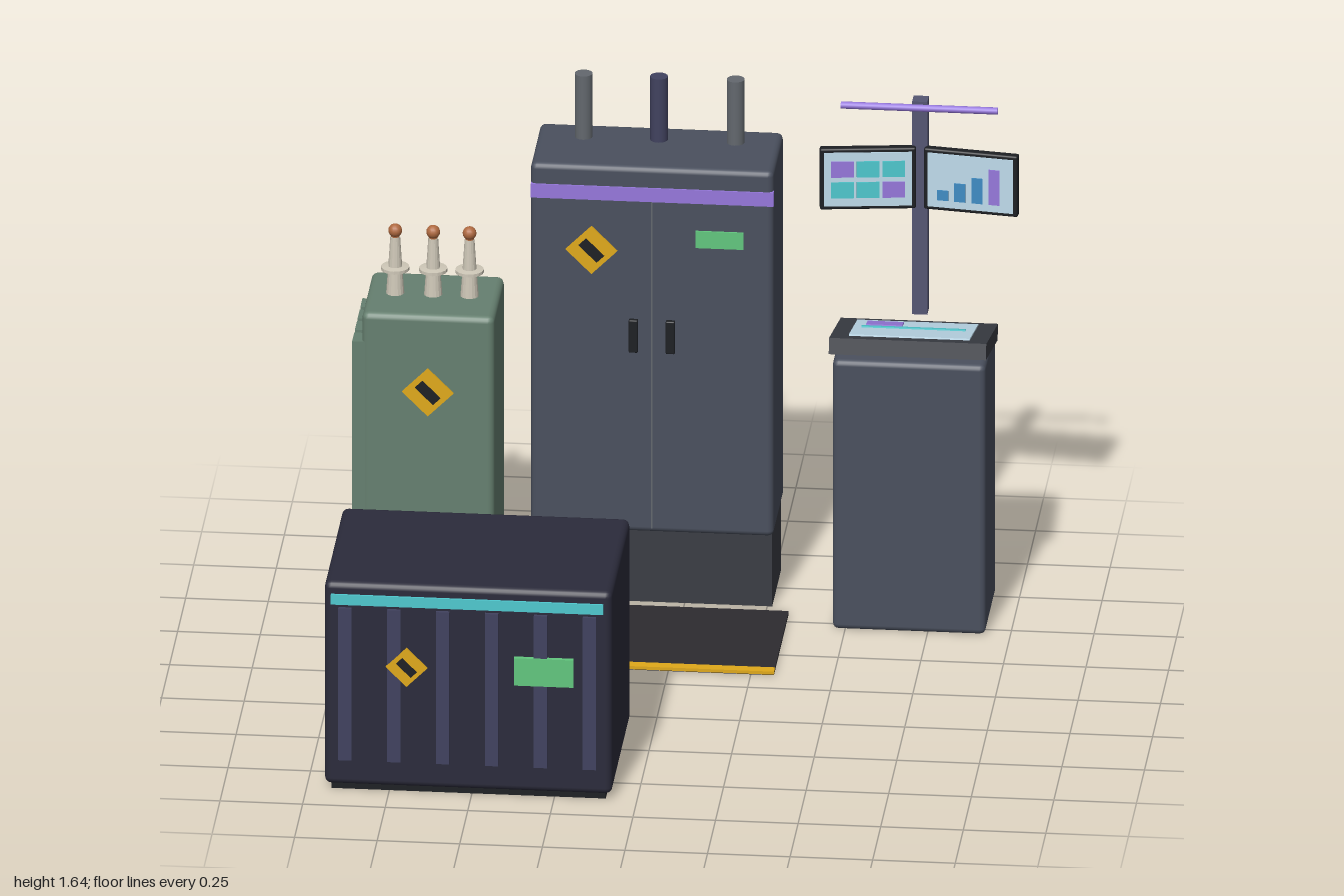
import * as THREE from 'three';
import { RoundedBoxGeometry } from 'three/addons/geometries/RoundedBoxGeometry.js';

const mats = {};
const mat = (color) => (mats[color] ??= new THREE.MeshStandardMaterial({ color }));

const C = {
  navy: 0x2b2b3b, rib: 0x41425f, steel: 0x4a505e, plinth: 0x3a3d44, dark: 0x1d1f23,
  purple: 0x9678dc, yellow: 0xe0a91a, green: 0x62c77e, tank: 0x668070, cyan: 0x4fc9cf,
  mat: 0x2d2b30, screen: 0xbfdcec, blue: 0x3f8cc4, cream: 0xcfc8b8, copper: 0xb06a40,
  post: 0x555673, grey: 0x63686e,
};

function add(parent, name, geo, color, x = 0, y = 0, z = 0) {
  const m = new THREE.Mesh(geo, mat(color));
  m.name = name;
  m.position.set(x, y, z);
  parent.add(m);
  return m;
}

// Box given by its extents; a radius softens the edges
function box(parent, name, color, [x0, x1], [y0, y1], [z0, z1], r = 0) {
  const s = [x1 - x0, y1 - y0, z1 - z0];
  const geo = r ? new RoundedBoxGeometry(...s, 2, r) : new THREE.BoxGeometry(...s);
  return add(parent, name, geo, color, (x0 + x1) / 2, (y0 + y1) / 2, (z0 + z1) / 2);
}

function group(parent, name, x = 0, y = 0, z = 0) {
  const g = new THREE.Group();
  g.name = name;
  g.position.set(x, y, z);
  parent.add(g);
  return g;
}

// Yellow diamond plate with a dark slanted mark
function warningSign(parent, x, y, z, half) {
  const g = group(parent, 'warningSign', x, y, z);
  const side = half * Math.SQRT2;
  add(g, 'signPlate', new THREE.BoxGeometry(side, side, 0.008), C.yellow).rotation.z = Math.PI / 4;
  add(g, 'signMark', new THREE.BoxGeometry(half * 0.42, half * 1.0, 0.012), C.dark).rotation.z = Math.PI / 4;
}

function batteryCrate(root) {
  const g = group(root, 'batteryCrate');
  box(g, 'crateBase', C.dark, [-0.925, -0.095], [0, 0.03], [0.34, 0.87]);
  box(g, 'crateBody', C.navy, [-0.945, -0.075], [0.02, 0.685], [0.32, 0.89], 0.02);
  box(g, 'lightStrip', C.cyan, [-0.925, -0.1], [0.615, 0.648], [0.88, 0.897]);
  for (let i = 0; i < 6; i++) {
    const x = -0.882 + i * 0.148;
    box(g, 'rib', C.rib, [x - 0.02, x + 0.02], [0.105, 0.605], [0.88, 0.9]);
  }
  warningSign(g, -0.695, 0.42, 0.901, 0.063);
  box(g, 'label', C.green, [-0.37, -0.19], [0.375, 0.465], [0.89, 0.904]);
}

function transformer(root) {
  const g = group(root, 'transformer');
  box(g, 'transformerBase', C.plinth, [-0.985, -0.558], [0, 0.11], [-0.882, -0.515]);
  box(g, 'tank', C.tank, [-0.97, -0.57], [0.11, 0.945], [-0.86, -0.535], 0.02);
  for (let i = 0; i < 4; i++) {
    const z = -0.83 + i * 0.086;
    box(g, 'coolingFin', C.tank, [-1, -0.96], [0.21, 0.85], [z - 0.033, z + 0.033]);
  }
  warningSign(g, -0.77, 0.695, -0.532, 0.078);
  box(g, 'tankStripe', C.purple, [-0.91, -0.63], [0.255, 0.285], [-0.54, -0.528]);
  // Insulators with a collar and a copper tip
  const profile = [[0, 0], [0.028, 0], [0.022, 0.08], [0.043, 0.082], [0.043, 0.092],
    [0.021, 0.094], [0.015, 0.19], [0, 0.19]].map(([r, y]) => new THREE.Vector2(r, y));
  const geo = new THREE.LatheGeometry(profile, 16).toNonIndexed();
  geo.computeVertexNormals();
  for (const x of [-0.885, -0.77, -0.66]) {
    const b = group(g, 'bushing', x, 0.94, -0.7);
    add(b, 'insulator', geo, C.cream);
    add(b, 'terminalStem', new THREE.CylinderGeometry(0.013, 0.013, 0.04, 12), C.copper, 0, 0.195);
    add(b, 'terminal', new THREE.SphereGeometry(0.021, 14, 10), C.copper, 0, 0.21);
  }
}

function cabinet(root) {
  const g = group(root, 'cabinet');
  box(g, 'plinth', C.plinth, [-0.455, 0.265], [0, 0.245], [-0.885, -0.61]);
  box(g, 'cabinetBody', C.steel, [-0.465, 0.27], [0.235, 1.435], [-0.905, -0.592], 0.018);
  box(g, 'headerStripe', C.purple, [-0.464, 0.271], [1.325, 1.37], [-0.61, -0.587]);
  box(g, 'doorSeam', C.grey, [-0.1, -0.096], [0.25, 1.325], [-0.6, -0.59]);
  for (const s of [-1, 1]) {
    const x = -0.097 + s * 0.056;
    box(g, 'doorHandle', C.dark, [x - 0.014, x + 0.014], [0.83, 0.937], [-0.6, -0.578], 0.004);
  }
  warningSign(g, -0.28, 1.16, -0.588, 0.078);
  box(g, 'label', C.green, [0.035, 0.18], [1.18, 1.235], [-0.6, -0.586]);
  [[-0.325, C.grey], [-0.097, C.rib], [0.135, C.grey]].forEach(([x, c]) =>
    add(g, 'conduit', new THREE.CylinderGeometry(0.027, 0.027, 0.22, 16), c, x, 1.533, -0.81));
}

function floorMat(root) {
  const g = group(root, 'floorMat');
  box(g, 'matSheet', C.mat, [-0.51, 0.32], [0, 0.01], [-0.558, -0.098]);
  box(g, 'matEdge', C.yellow, [-0.51, 0.32], [0.002, 0.012], [-0.13, -0.097]);
}

function console_(root) {
  const g = group(root, 'console');
  box(g, 'pedestal', C.steel, [0.462, 0.925], [0, 0.885], [-0.78, -0.455], 0.018);
  // Tilted desk with a touch display
  const desk = group(g, 'desk', 0.693, 0.902, -0.602);
  desk.rotation.x = -0.25;
  box(desk, 'deskSlab', C.plinth, [-0.238, 0.238], [-0.025, 0.025], [-0.188, 0.188]);
  box(desk, 'deskScreen', C.screen, [-0.183, 0.183], [0.02, 0.03], [-0.137, 0.137]);
  box(desk, 'deskTile', C.purple, [-0.148, -0.038], [0.025, 0.034], [-0.1, -0.035]);
  box(desk, 'deskLine', C.cyan, [-0.158, 0.157], [0.025, 0.034], [-0.016, 0.003]);
  // Mast with a light bar
  box(g, 'mast', C.post, [0.671, 0.717], [0.9, 1.6], [-0.837, -0.791]);
  add(g, 'lightBar', new THREE.CylinderGeometry(0.011, 0.011, 0.475, 12), C.purple, 0.693, 1.58, -0.79)
    .rotation.z = Math.PI / 2;
  // Two monitors turned slightly inwards
  const monitors = [-1, 1].map((s) => {
    const m = group(g, 'monitor', 0.696 + s * 0.157, 1.355, -0.769);
    m.rotation.y = -s * 0.13;
    box(m, 'monitorCase', C.dark, [-0.145, 0.145], [-0.1, 0.1], [-0.014, 0.014], 0.006);
    box(m, 'monitorScreen', C.screen, [-0.132, 0.132], [-0.088, 0.088], [0.01, 0.017]);
    return m;
  });
  const tiles = [C.purple, C.cyan, C.cyan, C.cyan, C.cyan, C.purple];
  tiles.forEach((c, i) => {
    const x = ((i % 3) - 1) * 0.077, y = i < 3 ? 0.034 : -0.034;
    box(monitors[0], 'statusTile', c, [x - 0.034, x + 0.034], [y - 0.026, y + 0.026], [0.015, 0.02]);
  });
  [0.033, 0.06, 0.083, 0.115].forEach((h, i) => {
    const x = -0.085 + i * 0.053;
    box(monitors[1], 'chartBar', i < 3 ? C.blue : C.purple, [x - 0.017, x + 0.017], [-0.064, h - 0.064], [0.015, 0.02]);
  });
}

export function createModel() {
  const root = new THREE.Group();
  root.name = 'powerStation';
  [batteryCrate, transformer, cabinet, floorMat, console_].forEach((build) => build(root));
  return root;
}
